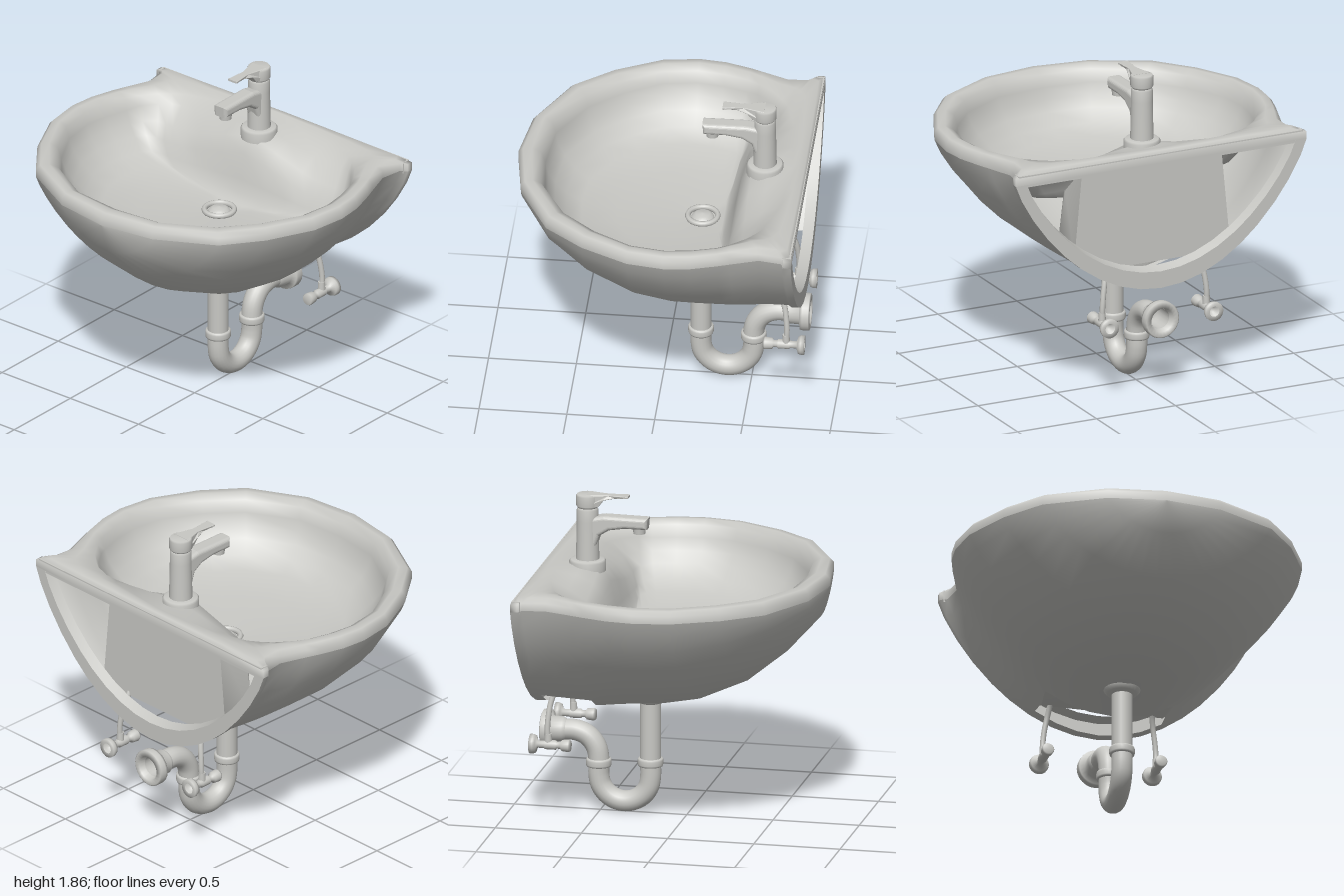
import * as THREE from 'three';

const ceramic = new THREE.MeshStandardMaterial({ color: 0xc8c8c4, side: THREE.DoubleSide });
ceramic.name = 'light grey';

// Half outlines (x, z) from the front middle round to the back middle
const OUTER = [[0, .83], [.33, .78], [.67, .6], [.84, .38], [.97, .11], [1, -.1], [.985, -.25], [.94, -.4], [.915, -.47],
  [.86, -.63], [.88, -.76], [.92, -.78], [.92, -.82], [.6, -.82], [.3, -.82], [0, -.82]];
const OPENING = [[0, .7], [.3, .67], [.58, .51], [.74, .32], [.86, .1], [.89, -.1], [.87, -.25], [.83, -.39], [.79, -.46],
  [.72, -.55], [.66, -.6], [.6, -.64], [.5, -.67], [.4, -.7], [.2, -.72], [0, -.73]];
// Lowest height of the shell at each of the first 13 outline points
const KEEL = [1.4, 1.22, 1.02, .84, .72, .68, .67, .65, .64, .64, .65, .65, .65];
const ARC = [1, .96, .88, .78, .66, .55, .42, .28, .14, 0];
const ACROSS = [...ARC, ...ARC.slice(0, -1).reverse().map(u => -u)];

// Joins rows of points into a smooth surface; skip(r, c) leaves a hole
function skin(rows, closed = false, skip = () => false) {
  const n = rows[0].length, index = [];
  for (let r = 0; r + 1 < rows.length; r++) {
    for (let c = 0; c < (closed ? n : n - 1); c++) {
      if (skip(r, c)) continue;
      const a = r * n + c, b = r * n + (c + 1) % n;
      index.push(a, b, a + n, b, b + n, a + n);
    }
  }
  const g = new THREE.BufferGeometry();
  g.setAttribute('position', new THREE.Float32BufferAttribute(rows.flat(2), 3));
  g.setIndex(index);
  g.computeVertexNormals();
  return g;
}

// U-shaped cross-section of the shell
const hoop = (w, keel, z, top = 1.4) =>
  ACROSS.map(u => [w * u, top - (top - keel) * Math.pow(1 - u * u, .82), z]);

// Full ring from a half list of [x, y, z]
const ring = half => [...half, ...half.slice(1, -1).reverse().map(([x, y, z]) => [-x, y, z])];

// Basin ring: the opening scaled and cut straight at the back, falling away beside the tap
const bowlRing = (w, k, zc, back, yFront, yBack, drop = 0) => ring(OPENING.map(([x, z]) => {
  const px = x * w / .89;
  return [px, z < -.42 ? yBack - drop * Math.min(1, px / .45) : yFront, Math.max(zc + (z + .1) * k, back)];
}));

// Profile in (z, y) extruded across x
function sideProfile(points, width, bevel) {
  const g = new THREE.ExtrudeGeometry(new THREE.Shape(points.map(p => new THREE.Vector2(...p))), {
    depth: width - 2 * bevel, bevelThickness: bevel, bevelSize: bevel, bevelOffset: -bevel, bevelSegments: 5 });
  g.translate(0, 0, bevel - width / 2);
  return g.rotateY(-Math.PI / 2);
}

const lathe = (points, segments = 24) =>
  new THREE.LatheGeometry(points.map(p => new THREE.Vector2(...p)), segments);

const tube = (points, radius, steps, sides) => new THREE.TubeGeometry(
  new THREE.CatmullRomCurve3(points.map(p => new THREE.Vector3(...p)), false, 'centripetal'), steps, radius, sides);

export function createModel() {
  const model = new THREE.Group();
  model.name = 'washbasin';
  const add = (name, geometry, x = 0, y = 0, z = 0, parent = model) => {
    const m = new THREE.Mesh(geometry, ceramic);
    m.name = name;
    m.position.set(x, y, z);
    parent.add(m);
  };

  // Outer shell with an opening underneath for the hoses
  const hoops = KEEL.map((keel, i) => hoop(OUTER[i][0], keel, OUTER[i][1]));
  add('outerShell', skin(hoops, false, (r, c) => (r === 8 || r === 9) && c >= 6 && c <= 11));

  // Wall flange: flat face, then a return into the hollow back
  add('wallFlangeFace', skin([hoop(.92, .65, -.82), hoop(.85, .75, -.82)]));
  add('wallFlangeReturn', skin([hoop(.85, .75, -.82), hoop(.84, .77, -.76)]));
  add('wallFlangeTop', new THREE.BoxGeometry(1.8, .07, .05), 0, 1.42, -.793);

  // Rim, sloping tap deck and shallow bowl in one skin
  const outerAt = y => ring(OUTER.map(([x, z]) => [x, y, z]));
  const blend = (t, y) => ring(OUTER.map(([x, z], i) =>
    [x + (OPENING[i][0] - x) * t, y, z + (OPENING[i][1] - z) * t]));
  add('rimAndBowl', skin([
    outerAt(1.4), outerAt(1.445), blend(.2, 1.47), blend(.6, 1.475), blend(1, 1.45),
    bowlRing(.87, .97, -.1, -.6, 1.38, 1.455, .06),
    bowlRing(.84, .95, -.1, -.5, 1.31, 1.44, .13),
    bowlRing(.79, .9, -.1, -.44, 1.25, 1.35, .11),
    bowlRing(.72, .82, -.1, -.41, 1.18, 1.2, .03),
    bowlRing(.62, .71, -.1, -.38, 1.13, 1.13),
    bowlRing(.42, .48, -.12, -.36, 1.095, 1.095),
    bowlRing(.2, .25, -.2, -.34, 1.08, 1.08),
    bowlRing(.08, .1, -.22, -.3, 1.07, 1.07),
    bowlRing(.001, .001, -.22, -.3, 1.07, 1.07),
  ], true));

  // Chamber below the tap, seen in the hollow back
  const chamberRow = (z, half) => [...half, ...half.slice(0, -1).reverse().map(([x, y]) => [-x, y])].map(([x, y]) => [x, y, z]);
  const backRow = chamberRow(-.7, [[.44, 1.39], [.49, .86], [.36, .77], [0, .77]]);
  const frontRow = chamberRow(-.485, [[.44, 1.2], [.49, .86], [.36, .77], [0, .77]]);
  const lipRow = chamberRow(-.47, [[.44, 1.2], [.46, .83], [.29, .71], [0, .645]]);
  add('chamberBack', new THREE.ShapeGeometry(new THREE.Shape(backRow.map(([x, y]) => new THREE.Vector2(x, y)))), 0, 0, -.7);
  add('chamberSides', skin([backRow, frontRow]));
  add('chamberLip', skin([frontRow, lipRow]));

  // Drain in the bowl
  add('drainRing', new THREE.TorusGeometry(.085, .016, 8, 28).rotateX(Math.PI / 2), 0, 1.082, -.22);
  add('drainPlug', lathe([[0, .03], [.04, .025], [.06, .012], [.065, 0]]), 0, 1.072, -.22);

  // Tap
  const tap = new THREE.Group();
  tap.name = 'tap';
  tap.position.z = -.575;
  model.add(tap);
  add('tapBase', lathe([[.105, -.05], [.105, .005], [.095, .015], [.065, .018]], 28), 0, 1.458, 0, tap);
  add('tapBody', lathe([[.068, 1.42], [.066, 1.5], [.062, 1.7], [.062, 1.765], [.052, 1.775], [0, 1.775]]), 0, 0, 0, tap);
  add('tapHead', lathe([[0, 1.778], [.058, 1.778], [.066, 1.79], [.066, 1.845], [.06, 1.855], [0, 1.857]]), 0, 0, 0, tap);
  add('tapSpout', sideProfile([[0, 1.56], [.055, 1.56], [.075, 1.62], [.13, 1.655], [.22, 1.67], [.35, 1.67],
    [.355, 1.735], [.1, 1.738], [0, 1.72]], .096, .022), 0, 0, 0, tap);
  add('aerator', new THREE.CylinderGeometry(.038, .034, .04, 20), 0, 1.66, .3, tap);
  // Lever narrows in the middle
  const lever = sideProfile([[0, 1.79], [.07, 1.79], [.1, 1.83], [.16, 1.84], [.24, 1.846], [.24, 1.858], [.12, 1.858], [0, 1.858]], .06, .004);
  const lp = lever.attributes.position;
  for (let i = 0; i < lp.count; i++) {
    const z = lp.getZ(i);
    lp.setX(i, lp.getX(i) * (z < .03 ? 1.8 : z < .11 ? 1.3 : z < .2 ? .75 : 1.1));
  }
  lever.computeVertexNormals();
  add('tapLever', lever, 0, 0, 0, tap);

  // Waste pipe and trap
  const bend = [];
  for (let i = 0; i <= 8; i++) {
    const a = Math.PI * i / 8;
    bend.push([0, .21 - .15 * Math.sin(a), -.36 + .15 * Math.cos(a)]);
  }
  add('trapPipe', tube([[0, .7, -.21], [0, .45, -.21], [0, .3, -.21], ...bend, [0, .3, -.51], [0, .37, -.525],
    [0, .43, -.57], [0, .46, -.64], [0, .46, -.72], [0, .46, -.8]], .06, 72, 18));
  add('drainCollar', lathe([[.06, -.03], [.085, -.02], [.105, 0], [.105, .03], [0, .03]]), 0, .68, -.21);
  const nut = [[.06, -.024], [.07, -.022], [.073, -.012], [.073, .012], [.07, .022], [.06, .024]];
  add('frontPipeNut', lathe(nut), 0, .3, -.21);
  add('rearPipeNut', lathe(nut), 0, .28, -.51);
  // Lathe axis turned to point at the wall
  const toWall = points => lathe(points).rotateX(-Math.PI / 2);
  add('wallCollar', toWall([[.06, -.14], [.072, -.12], [.075, -.06], [.105, -.055], [.108, -.04], [.108, -.005],
    [.1, 0], [.07, 0], [.06, -.05]]), 0, .46, -.835);

  // Stop valves and hoses
  for (const s of [1, -1]) {
    const valve = new THREE.Group();
    valve.name = s > 0 ? 'leftValve' : 'rightValve';
    valve.position.x = s * .33;
    model.add(valve);
    add('valveBody', toWall([[0, -.235], [.03, -.235], [.036, -.225], [.032, -.185], [.02, -.175], [.02, -.155],
      [.027, -.15], [.027, -.09], [.021, -.08], [.021, -.045], [.05, -.035], [.056, -.02], [.056, 0], [.03, 0]]),
      0, .46, -.835, valve);
    add('hoseNut', new THREE.CylinderGeometry(.02, .022, .05, 12), 0, .5, -.73, valve);
    add('hose', tube([[0, .47, -.73], [0, .55, -.735], [-s * .008, .63, -.73], [-s * .02, .7, -.72],
      [-s * .03, .76, -.7], [-s * .035, .8, -.68]], .016, 20, 10), 0, 0, 0, valve);
  }
  return model;
}
